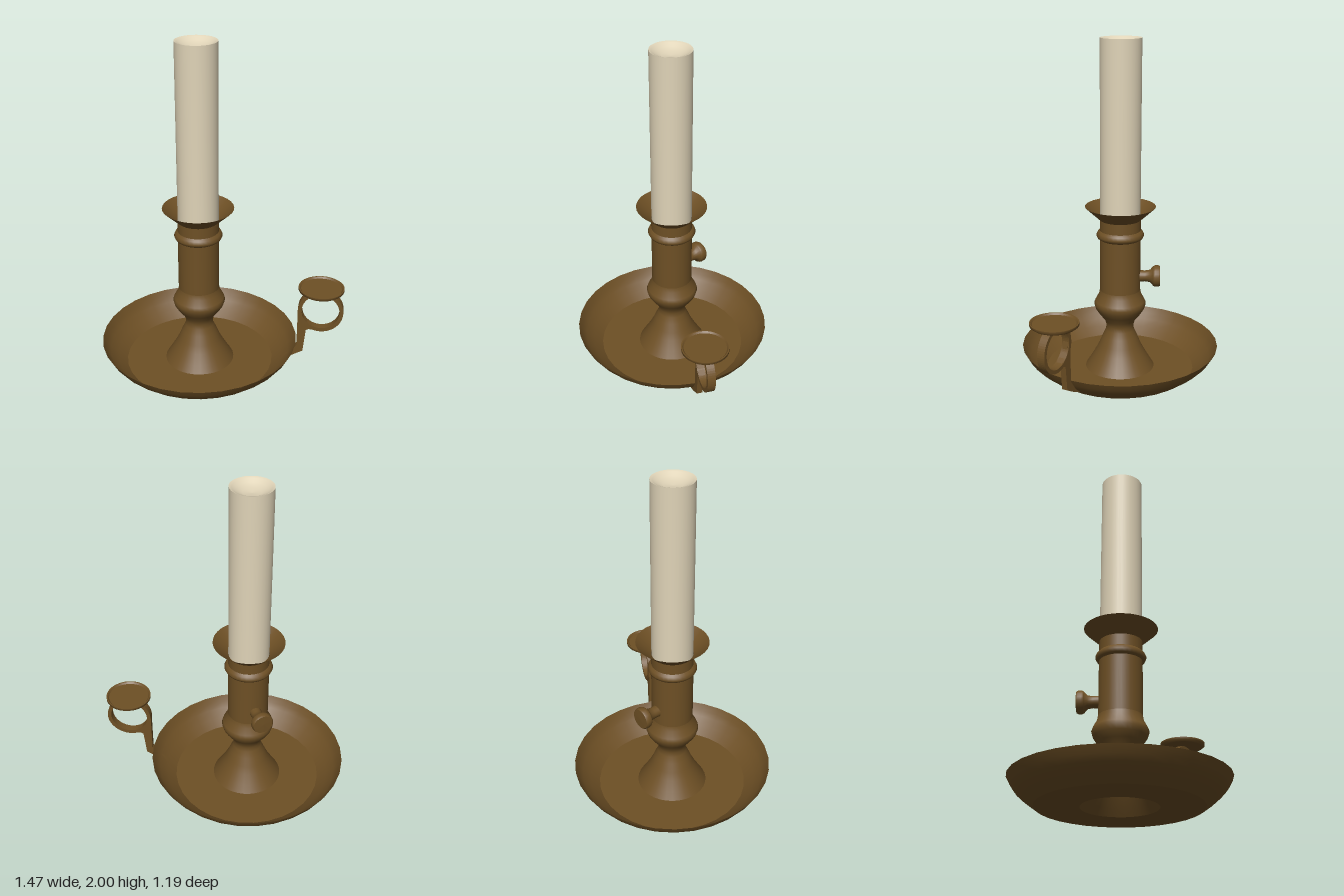
import * as THREE from 'three';

export function createModel() {
  const model = new THREE.Group();
  const brass = new THREE.MeshStandardMaterial({ color: 0x6e5025, side: THREE.DoubleSide });
  brass.name = 'aged brass';
  const wax = new THREE.MeshStandardMaterial({ color: 0xe0d4b8 });
  wax.name = 'cream wax';

  const add = (name, geometry, material, parent = model) => {
    const mesh = new THREE.Mesh(geometry, material);
    mesh.name = name;
    parent.add(mesh);
    return mesh;
  };
  // Each list of [radius, y] is one smooth surface; edges between lists stay sharp
  const turn = (name, parts, material, parent, sides = 32) =>
    parts.forEach((p, i) => add(name + (i || ''),
      new THREE.LatheGeometry(p.map(([r, y]) => new THREE.Vector2(r, y)), sides), material, parent));

  // Everything turned on the main axis
  const body = new THREE.Group();
  body.name = 'candlestick';
  body.position.x = -0.14;
  model.add(body);

  // Sheet metal dish, open under the stem
  turn('dish', [
    [[0.21, 0], [0.45, 0]],
    [[0.45, 0], [0.505, 0.04], [0.55, 0.08], [0.575, 0.113], [0.596, 0.152]],
  ], brass, body);

  // Hollow stem: flared foot, bulb, tube, collar and drip cup
  turn('stem', [
    [[0.21, 0], [0.185, 0.04], [0.15, 0.1], [0.125, 0.15], [0.105, 0.2], [0.086, 0.24], [0.082, 0.27],
      [0.093, 0.305], [0.125, 0.345], [0.148, 0.38], [0.157, 0.41], [0.15, 0.43], [0.128, 0.47], [0.122, 0.5]],
    [[0.122, 0.5], [0.122, 0.82]],
    [[0.122, 0.82], [0.135, 0.828], [0.143, 0.845], [0.135, 0.863], [0.122, 0.875]],
    [[0.122, 0.875], [0.122, 0.94]],
    [[0.122, 0.94], [0.15, 0.965], [0.21, 1.02]],
  ], brass, body);

  // Candle with a shallow melted hollow
  turn('candle', [
    [[0.12, 0.94], [0.12, 2]],
    [[0.12, 2], [0.105, 1.995], [0.085, 1.98], [0.05, 1.966], [0, 1.962]],
  ], wax, body);

  // Side knob, turned along its own axis and pointing back and right
  const knob = new THREE.Group();
  knob.name = 'knob';
  knob.position.y = 0.585;
  knob.quaternion.setFromUnitVectors(new THREE.Vector3(0, 1, 0), new THREE.Vector3(-0.46, 0, -0.888).normalize());
  body.add(knob);
  turn('knobNeck', [
    [[0.036, 0.1], [0.033, 0.15], [0.038, 0.18], [0.06, 0.2]],
    [[0.06, 0.2], [0.065, 0.21], [0.065, 0.23], [0.06, 0.24]],
    [[0.06, 0.24], [0, 0.242]],
  ], brass, knob, 20);

  // Finger ring
  const ringShape = new THREE.Shape().absarc(0, 0, 0.135, 0, Math.PI * 2);
  ringShape.holes.push(new THREE.Path().absarc(0, 0, 0.112, 0, Math.PI * 2, true));
  const plate = (shape, depth) => new THREE.ExtrudeGeometry(shape, { depth, bevelEnabled: false, curveSegments: 32 })
    .translate(0, 0, -depth / 2);
  add('fingerRing', plate(ringShape, 0.046), brass).position.set(0.597, 0.4, 0);

  // Strap from the ring down to the underside of the dish wall
  const strap = new THREE.Shape([
    [0.462, 0.4], [0.462, 0.15], [0.44, 0.12], [0.41, 0.08], [0.36, 0.038], [0.42, 0.065],
    [0.5, 0.112], [0.515, 0.262], [0.53, 0.27], [0.56, 0.268], [0.56, 0.292], [0.52, 0.318],
    [0.495, 0.35], [0.485, 0.4],
  ].map(([x, y]) => new THREE.Vector2(x, y)));
  add('handleStrap', plate(strap, 0.034), brass);

  // Thumb rest with a low lip
  const rest = new THREE.Group();
  rest.name = 'thumbRest';
  rest.position.x = 0.595;
  model.add(rest);
  turn('restDisc', [
    [[0, 0.532], [0.122, 0.532]],
    [[0.122, 0.532], [0.135, 0.542], [0.135, 0.556]],
    [[0.135, 0.556], [0.128, 0.556]],
    [[0.128, 0.556], [0.12, 0.547]],
    [[0.12, 0.547], [0, 0.547]],
  ], brass, rest);

  return model;
}
